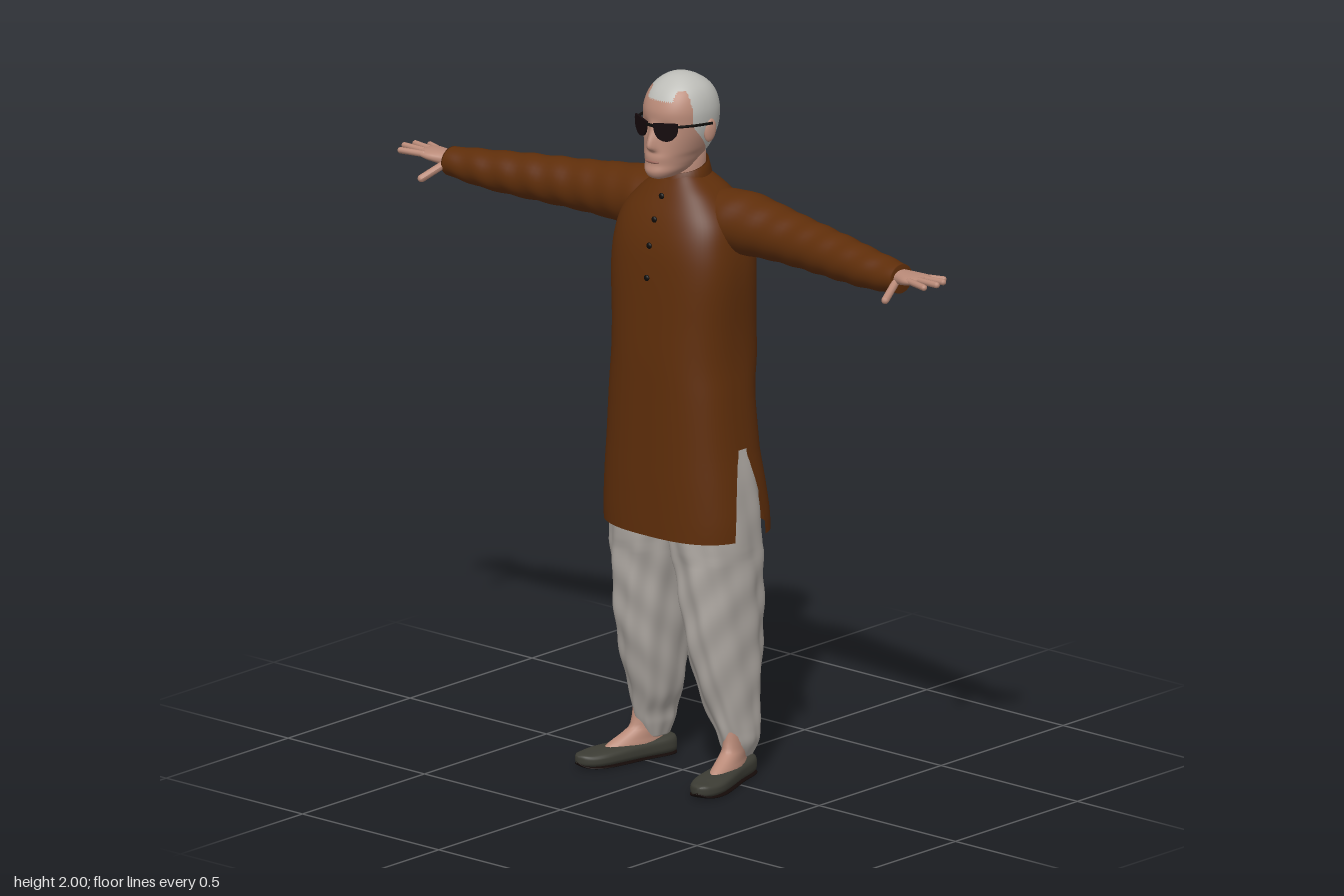
import * as THREE from 'three';

const mat = (name, color, side = THREE.FrontSide) => {
  const m = new THREE.MeshStandardMaterial({ color, side });
  m.name = name;
  return m;
};

// Smoothly adds rows between the given rows of numbers
function refine(rows, n) {
  const out = [];
  const at = i => rows[Math.min(Math.max(i, 0), rows.length - 1)];
  for (let i = 0; i < rows.length - 1; i++) {
    for (let k = 0; k < n; k++) {
      const t = k / n;
      out.push(rows[i].map((p1, c) => {
        const p0 = at(i - 1)[c], p2 = at(i + 1)[c], p3 = at(i + 2)[c];
        return 0.5 * (2 * p1 + (p2 - p0) * t + (2 * p0 - 5 * p1 + 4 * p2 - p3) * t * t
          + (3 * p1 - p0 - 3 * p2 + p3) * t * t * t);
      }));
    }
  }
  out.push(rows[rows.length - 1]);
  return out;
}

// Unit superellipse points; gap is the half angle left between the two halves
function outline(n, e, gap = Math.PI / n) {
  const pw = v => Math.sign(v) * Math.abs(v) ** e;
  return Array.from({ length: n }, (_, j) => {
    const h = n / 2;
    const a = (j < h ? 0 : Math.PI) + gap + (Math.PI - 2 * gap) * (j % h) / (h - 1);
    return [pw(Math.cos(a)), pw(Math.sin(a)), a];
  });
}

// Skins a list of rings; skip(i, j) leaves a face out
function loft(rings, { caps = true, skip = () => false } = {}) {
  const n = rings[0].length, pos = rings.flat(2), idx = [];
  for (let i = 0; i < rings.length - 1; i++) {
    for (let j = 0; j < n; j++) {
      if (skip(i, j)) continue;
      const a = i * n + j, b = i * n + (j + 1) % n;
      idx.push(a, b, a + n, b, b + n, a + n);
    }
  }
  if (caps) [0, rings.length - 1].forEach(r => {
    const c = pos.length / 3;
    pos.push(...[0, 1, 2].map(k => rings[r].reduce((s, p) => s + p[k], 0) / n));
    for (let j = 0; j < n; j++) {
      const a = r * n + j, b = r * n + (j + 1) % n;
      idx.push(...(r ? [a, b, c] : [b, a, c]));
    }
  });
  const g = new THREE.BufferGeometry();
  g.setAttribute('position', new THREE.Float32BufferAttribute(pos, 3));
  g.setIndex(idx);
  g.computeVertexNormals();
  return g;
}

// Horizontal ring between xi..xo and zb..zf
const ringY = (y, xi, xo, zf, zb, o, f = () => 1) => o.map(([c, s, a]) => [
  (xi + xo) / 2 + (xo - xi) / 2 * c * f(a, y), y, (zf + zb) / 2 - (zf - zb) / 2 * s * f(a, y)]);

// Ring across the x axis
const ringX = ([x, yc, zc, ry, rz], o, f = () => 1) =>
  o.map(([c, s, a]) => [x, yc + ry * c * f(a, x), zc + rz * s * f(a, x)]);

function mirror(geo) {
  const g = geo.clone().scale(-1, 1, 1), ix = g.index.array;
  for (let i = 0; i < ix.length; i += 3) [ix[i], ix[i + 1]] = [ix[i + 1], ix[i]];
  g.computeVertexNormals();
  return g;
}

export function createModel() {
  const skin = mat('skin', 0xb98a78), hair = mat('grey hair', 0xbdbdb8);
  const cloth = mat('brown cloth', 0x5f2e0a, THREE.DoubleSide);
  const linen = mat('pale linen', 0xb0aaa4, THREE.DoubleSide);
  const leather = mat('shoe leather', 0x3c3c34), soleMat = mat('dark sole', 0x140a08);
  const glass = mat('dark glass', 0x14090c), black = mat('black', 0x0e0c0a), lip = mat('lips', 0x9a675b);

  const model = new THREE.Group();
  const add = (name, geo, m) => {
    const mesh = new THREE.Mesh(geo, m);
    mesh.name = name;
    model.add(mesh);
  };
  const pair = (name, geo, m) => {
    add('left ' + name, geo, m);
    add('right ' + name, mirror(geo), m);
  };

  // Tunic body, open along the side slits: y, half width, front z, back z, slit
  const N = 64;
  const body = refine([
    [0.705, 0.238, 0.153, -0.19, 0.26], [0.76, 0.238, 0.154, -0.185, 0.235], [0.85, 0.23, 0.155, -0.172, 0.16],
    [0.92, 0.222, 0.155, -0.16, 0.085], [0.96, 0.218, 0.155, -0.156, 0.05], [1.1, 0.207, 0.155, -0.15, 0.05],
    [1.2, 0.2, 0.155, -0.166, 0.05], [1.3, 0.2, 0.152, -0.163, 0.05], [1.44, 0.207, 0.146, -0.155, 0.05],
    [1.53, 0.2, 0.136, -0.153, 0.05], [1.6, 0.18, 0.115, -0.145, 0.05], [1.66, 0.13, 0.085, -0.118, 0.05],
    [1.7, 0.08, 0.06, -0.085, 0.05], [1.72, 0.055, 0.045, -0.06, 0.05]], 5);
  add('tunic body', loft(
    body.map(([y, r, zf, zb, g]) => ringY(y, -r, r, zf, zb, outline(N, 0.75, g))),
    { caps: false, skip: (i, j) => body[i][0] < 0.955 && j % (N / 2) === N / 2 - 1 }), cloth);

  // Standing collar, higher at the back
  const collar = [[1.685, 0.074, 0.074, -0.088], [1.71, 0.07, 0.062, -0.08], [1.735, 0.066, 0.054, -0.073],
    [1.733, 0.06, 0.048, -0.067], [1.7, 0.06, 0.048, -0.067]];
  add('collar', loft(collar.map(([y, r, zf, zb]) => ringY(y, -r, r, zf, zb, outline(40, 1))
    .map(([x, h, z]) => [x, h - z * 0.28, z])), { caps: false }), cloth);

  // Sleeves with soft creases
  const sleeve = refine([[0.06, 1.605, -0.04, 0.065, 0.07], [0.14, 1.593, -0.045, 0.085, 0.088],
    [0.2, 1.591, -0.05, 0.087, 0.09], [0.3, 1.588, -0.045, 0.078, 0.08], [0.4, 1.584, -0.035, 0.071, 0.072],
    [0.5, 1.581, -0.022, 0.066, 0.068], [0.6, 1.578, -0.008, 0.061, 0.064], [0.7, 1.576, 0.008, 0.054, 0.058],
    [0.78, 1.577, 0.018, 0.046, 0.05], [0.825, 1.578, 0.025, 0.04, 0.045]], 6);
  pair('sleeve', loft(sleeve.map(r => ringX(r, outline(32, 1),
    (a, x) => 1 + 0.025 * Math.sin(70 * x + 2 * a) * Math.min(1, x * 2)))), cloth);

  // Placket and buttons
  [[1.66, 0.085], [1.6, 0.115], [1.53, 0.136], [1.44, 0.146]].forEach(([y, z], i) =>
    add('button ' + (i + 1), new THREE.SphereGeometry(0.009, 12, 8).scale(1, 1, 0.6).translate(0, y, z + 0.002), black));

  // Draped trousers: y, inner x, outer x, front z, back z
  const leg = refine([[0.06, 0.125, 0.178, -0.02, -0.105], [0.1, 0.112, 0.195, 0, -0.125], [0.14, 0.105, 0.198, 0.015, -0.13],
    [0.2, 0.08, 0.2, 0.035, -0.133], [0.3, 0.062, 0.205, 0.07, -0.143], [0.4, 0.048, 0.208, 0.095, -0.15],
    [0.5, 0.036, 0.212, 0.11, -0.152], [0.6, 0.022, 0.213, 0.12, -0.153], [0.7, 0.005, 0.213, 0.13, -0.152],
    [0.8, -0.01, 0.21, 0.13, -0.147], [0.97, -0.01, 0.195, 0.12, -0.135]], 7);
  const folds = (a, y) => 1 + 0.03 * Math.sin(9 * a + 12 * y) + 0.022 * Math.sin(4 * a - 42 * y) * (y < 0.65 ? 1 : 0.3);
  pair('trouser leg', loft(leg.map(([y, xi, xo, zf, zb]) => ringY(y, xi, xo, zf, zb, outline(80, 0.9), folds))), linen);

  // Feet and shoes, toes turned out
  const turnOut = g => g.rotateY(0.27).translate(0.18, 0, 0.035);
  const foot = [[0.03, 0.034, 0.085, -0.13], [0.05, 0.032, 0.06, -0.128], [0.062, 0.03, 0.038, -0.125],
    [0.08, 0.029, 0.002, -0.122], [0.1, 0.028, -0.02, -0.12], [0.16, 0.028, -0.03, -0.12]];
  pair('foot', turnOut(loft(refine(foot, 3).map(([y, r, zf, zb]) => ringY(y, -r, r, zf, zb, outline(24, 1))))), skin);
  const shoeRows = refine([[-0.156, 0.012, 0.04, 0.008], [-0.15, 0.028, 0.051, 0.004], [-0.12, 0.038, 0.054, 0.003],
    [-0.05, 0.039, 0.049, 0.003], [0.02, 0.046, 0.047, 0.003], [0.08, 0.049, 0.043, 0.003],
    [0.12, 0.041, 0.038, 0.004], [0.145, 0.026, 0.033, 0.008], [0.158, 0.006, 0.02, 0.016]], 4);
  const shoe = (wide, high, drop) => turnOut(loft(shoeRows.map(([z, w, h, b]) => outline(28, 0.65)
    .map(([c, s]) => [w * wide * c, b - drop + (high || h) * (0.5 + 0.5 * s), z]))));
  pair('shoe', shoe(1, 0, 0), leather);
  pair('sole', shoe(1.03, 0.007, 0.003), soleMat);

  // Hands
  const palm = refine([[0.79, 1.58, 0.02, 0.022, 0.028], [0.83, 1.585, 0.027, 0.02, 0.032], [0.87, 1.59, 0.034, 0.016, 0.042],
    [0.9, 1.593, 0.035, 0.012, 0.043], [0.912, 1.594, 0.035, 0.006, 0.038]], 3);
  pair('palm', loft(palm.map(r => ringX(r, outline(24, 0.9)))), skin);
  const finger = (name, from, to, r) => {
    const a = new THREE.Vector3(...from), b = new THREE.Vector3(...to), d = b.clone().sub(a);
    const g = new THREE.CapsuleGeometry(r, d.length() - r, 4, 10);
    g.applyQuaternion(new THREE.Quaternion().setFromUnitVectors(new THREE.Vector3(0, 1, 0), d.normalize()));
    pair(name, g.translate(...a.add(b).multiplyScalar(0.5).toArray()), skin);
  };
  finger('little finger', [0.885, 1.592, 0.003], [0.946, 1.592, -0.018], 0.008);
  finger('ring finger', [0.89, 1.594, 0.022], [0.972, 1.596, 0.014], 0.009);
  finger('middle finger', [0.89, 1.595, 0.045], [0.98, 1.597, 0.05], 0.009);
  finger('index finger', [0.885, 1.594, 0.066], [0.964, 1.594, 0.085], 0.009);
  finger('thumb', [0.825, 1.578, 0.045], [0.852, 1.542, 0.125], 0.011);

  // Neck
  add('neck', loft([[1.64, 0.058, 0.05, -0.07], [1.72, 0.057, 0.05, -0.067], [1.8, 0.058, 0.06, -0.07]]
    .map(([y, r, zf, zb]) => ringY(y, -r, r, zf, zb, outline(32, 1)))), skin);

  // Head: y, half width, front z, back z, with the nose and eye sockets pressed in
  const headRows = refine([[1.717, 0.018, 0.115, 0.06], [1.724, 0.036, 0.128, 0.02], [1.74, 0.051, 0.135, -0.02],
    [1.76, 0.06, 0.13, -0.05], [1.78, 0.067, 0.13, -0.075], [1.8, 0.076, 0.125, -0.088], [1.84, 0.088, 0.12, -0.104],
    [1.88, 0.094, 0.117, -0.107], [1.91, 0.094, 0.115, -0.103], [1.94, 0.087, 0.103, -0.092],
    [1.965, 0.073, 0.084, -0.073], [1.985, 0.05, 0.058, -0.045], [1.996, 0.026, 0.035, -0.018], [2, 0.003, 0.01, 0.005]], 6);
  const ramp = THREE.MathUtils.smoothstep;
  const head = loft(headRows.map(([y, r, zf, zb]) => ringY(y, -r, r, zf, zb, outline(96, 0.92)).map(([x, h, z]) => {
    if (z < 0.05) return [x, h, z];
    const nose = 0.024 * Math.exp(-((x / 0.014) ** 2)) * ramp(h, 1.793, 1.812) * (1 - ramp(h, 1.815, 1.885));
    const socket = 0.008 * Math.exp(-(((Math.abs(x) - 0.038) / 0.018) ** 2) - ((h - 1.862) / 0.016) ** 2);
    return [x, h, z + nose - socket];
  })));
  const hp = head.attributes.position, ix = [...head.index.array], parts = [[], []];
  for (let i = 0; i < ix.length; i += 3) {
    const t = ix.slice(i, i + 3);
    const [x, y, z] = ['getX', 'getY', 'getZ'].map(f => t.reduce((s, v) => s + hp[f](v), 0) / 3);
    const edge = 0.055 - Math.max(0, 1.87 - y) * 0.9;
    const isHair = y > 1.965 || (y > 1.938 && Math.abs(x) < 0.045) || (y > 1.76 && z < edge);
    parts[isHair ? 1 : 0].push(...t);
  }
  head.setIndex(parts.flat());
  head.addGroup(0, parts[0].length, 0);
  head.addGroup(parts[0].length, parts[1].length, 1);
  add('head', head, [skin, hair]);
  pair('ear', new THREE.SphereGeometry(1, 16, 12).scale(0.009, 0.033, 0.019).rotateX(-0.15).rotateY(-0.25)
    .translate(0.093, 1.846, -0.008), skin);
  add('mouth', new THREE.SphereGeometry(1, 16, 8).scale(0.026, 0.005, 0.007).translate(0, 1.768, 0.126), lip);

  // Sunglasses
  const lens = new THREE.Shape();
  lens.moveTo(-0.034, 0.02);
  lens.lineTo(0.036, 0.024);
  lens.bezierCurveTo(0.042, -0.012, 0.022, -0.03, 0, -0.029);
  lens.bezierCurveTo(-0.022, -0.028, -0.034, -0.01, -0.034, 0.02);
  const lensGeo = new THREE.ExtrudeGeometry(lens, { depth: 0.006, bevelEnabled: false, curveSegments: 10 });
  lensGeo.setIndex([...Array(lensGeo.attributes.position.count).keys()]);
  pair('lens', lensGeo.rotateY(0.4).translate(0.042, 1.862, 0.118), glass);
  add('glasses bridge', new THREE.BoxGeometry(0.026, 0.007, 0.006).translate(0, 1.874, 0.133), black);
  const temple = new THREE.CatmullRomCurve3([[0.074, 1.876, 0.106], [0.093, 1.873, 0.055], [0.099, 1.867, -0.01]]
    .map(p => new THREE.Vector3(...p)));
  pair('glasses arm', new THREE.TubeGeometry(temple, 12, 0.004, 8), black);

  return model;
}
